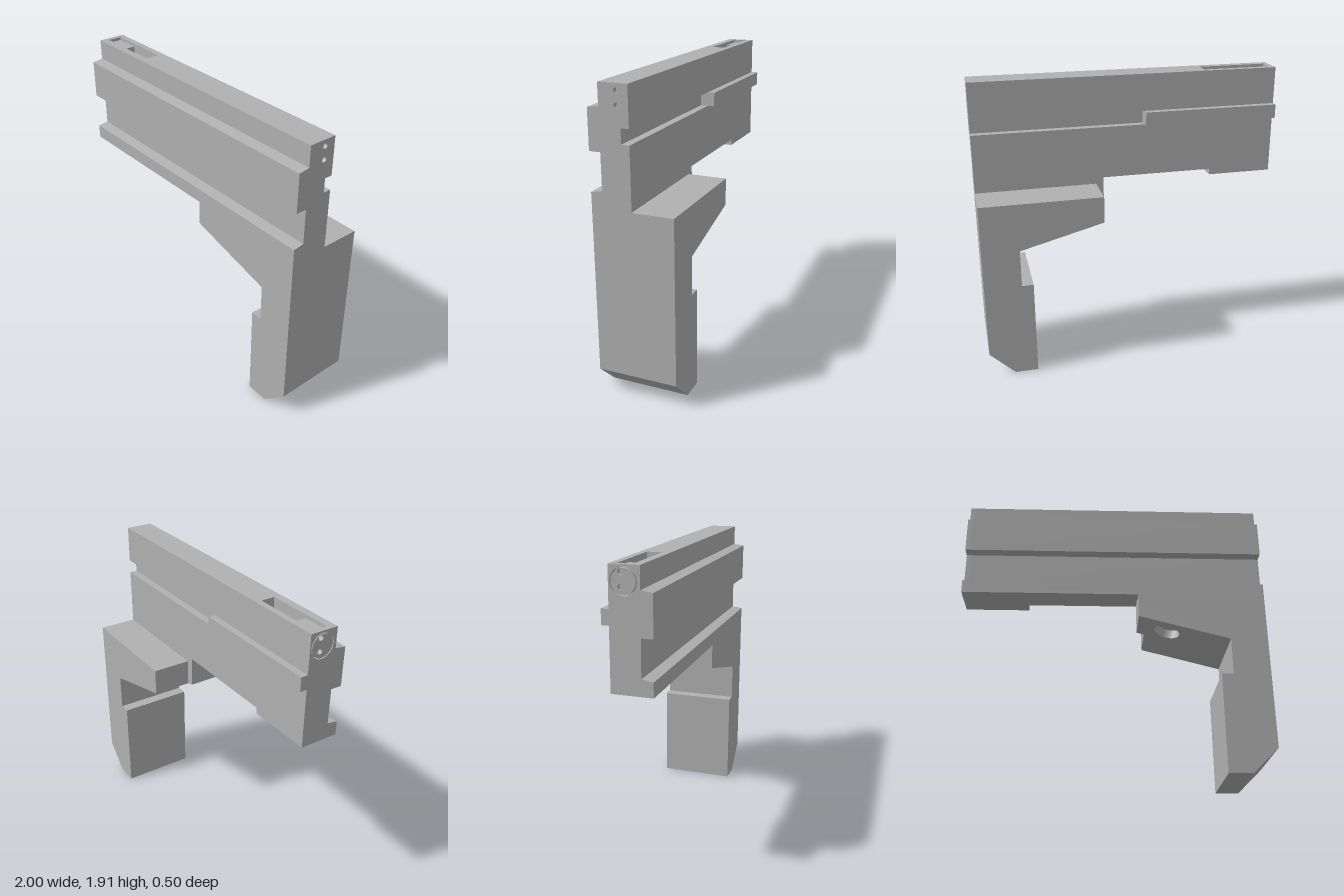
import * as THREE from 'three';

const grey = new THREE.MeshStandardMaterial({ color: 0xb0b0b0, side: THREE.DoubleSide });
grey.name = 'plainGrey';

const shapeOf = (pts) => new THREE.Shape(pts.map(([a, b]) => new THREE.Vector2(a, b)));
const circle = (x, y, r) => new THREE.Path().absarc(x, y, r, 0, Math.PI * 2, true);
const extrude = (shape, depth) =>
  new THREE.ExtrudeGeometry(shape, { depth, bevelEnabled: false, curveSegments: 16 });

// Shape drawn in (z, y), swept from x0 to x1
const alongX = (shape, x0, x1) => extrude(shape, x1 - x0).rotateY(-Math.PI / 2).translate(x1, 0, 0);
// Shape drawn in (x, -z), swept from y0 to y1
const alongY = (shape, y0, y1) => extrude(shape, y1 - y0).rotateX(-Math.PI / 2).translate(0, y0, 0);
// Shape drawn in (x, y), swept from z0 to z1
const alongZ = (shape, z0, z1) => extrude(shape, z1 - z0).translate(0, 0, z0);
const box = (x0, x1, y0, y1, z0, z1) =>
  new THREE.BoxGeometry(x1 - x0, y1 - y0, z1 - z0)
    .translate((x0 + x1) / 2, (y0 + y1) / 2, (z0 + z1) / 2);

// Body section with front rails and the groove in the back
const section = (bottom, top) => shapeOf([
  [0, bottom], [0.25, bottom], [0.25, 1.29], [0.18, 1.3], [0.18, 1.525], [0.25, 1.525],
  [0.25, 1.77], [0.18, 1.78], [0.18, top], [0, top],
  [0, 1.67], [0.05, 1.67], [0.05, 1.58], [0, 1.58],
]);

export function createModel() {
  const model = new THREE.Group();
  model.name = 'model';
  const add = (name, geometry) => {
    const mesh = new THREE.Mesh(geometry, grey);
    mesh.name = name;
    model.add(mesh);
    return mesh;
  };
  const END = 0.97;

  add('body', alongX(section(1.24, 1.8), -END, END));

  // Top layer with an open slot
  const top = shapeOf([[-END, 0], [-END, -0.18], [END, -0.18], [END, 0]]);
  top.holes.push(new THREE.Path([[-0.969, -0.04], [-0.52, -0.04], [-0.52, -0.13], [-0.969, -0.13]]
    .map(([a, b]) => new THREE.Vector2(a, b))));
  add('topLayer', alongY(top, 1.8, 1.91));
  add('slotPanel', box(-END, -0.8, 1.8, 1.89, 0.04, 0.13));

  // Rounded floor of the slot
  const trough = new THREE.CylinderGeometry(0.045, 0.045, 0.28, 20, 1, true, Math.PI / 2, Math.PI)
    .rotateX(0).rotateZ(Math.PI / 2);
  const floorArc = new THREE.Shape();
  floorArc.moveTo(0.04, 1.8);
  floorArc.lineTo(0.04, 1.85);
  floorArc.absarc(0.085, 1.85, 0.045, Math.PI, Math.PI * 2, false);
  floorArc.lineTo(0.13, 1.8);
  trough.dispose();
  add('slotFloor', alongX(floorArc, -0.8, -0.52));

  // Bottom layer with a recess, rounded at one end, open to the back
  const bottom = new THREE.Shape();
  bottom.moveTo(-END, 0);
  bottom.lineTo(-END, -0.25);
  bottom.lineTo(END, -0.25);
  bottom.lineTo(END, 0);
  bottom.lineTo(0.165, 0);
  bottom.lineTo(0.165, -0.17);
  bottom.lineTo(-0.485, -0.17);
  bottom.absarc(-0.485, -0.085, 0.085, -Math.PI / 2, -Math.PI, true);
  bottom.lineTo(-0.57, 0);
  add('bottomLayer', alongY(bottom, 1.2, 1.24));

  // End plates with small round holes
  const holes = () => [1.87, 1.79].map((y) => circle(0.07, y, 0.016));
  const leftEnd = section(1.2, 1.91);
  leftEnd.holes.push(...holes());
  add('leftEndPlate', alongX(leftEnd, END, 1));
  const rightEnd = section(1.2, 1.91);
  rightEnd.holes.push(circle(0.085, 1.82, 0.077));
  add('rightEndPlate', alongX(rightEnd, -1, -END));
  const plug = new THREE.Shape().absarc(0.085, 1.82, 0.071, 0, Math.PI * 2, false);
  plug.holes.push(...holes());
  add('roundPlug', alongX(plug, -1, -END));

  // Sliding bar in the back groove
  add('slideBar', box(-1, -0.11, 1.58, 1.67, -0.045, 0.05));

  // Grip, back half and front half
  const lower = [[0.76, 0.885], [0.76, 0.64], [0.685, 0.64], [0.685, 0], [0.835, 0], [1, 0.16], [1, 1.2]];
  add('gripBack', alongZ(shapeOf([[0.215, 1.2], [0.215, 1.027], ...lower]), -0.255, 0));

  // The front half's sloped underside is a plate with a round pocket
  const depth = 0.06;
  const start = new THREE.Vector3(0.165, 1.04, 0);
  const dir = new THREE.Vector3(0.76, 0.885, 0).sub(start);
  const length = dir.length();
  dir.normalize();
  const out = new THREE.Vector3(dir.y, -dir.x, 0);
  const inner = start.clone().addScaledVector(out, -depth);
  const innerEnd = inner.clone().addScaledVector(dir, length);
  add('gripFront', alongZ(shapeOf([
    [0.165, 1.2], [0.165, 1.04], [inner.x, inner.y], [innerEnd.x, innerEnd.y], ...lower,
  ]), 0, 0.25));
  const slope = shapeOf([[0, 0], [length, 0], [length, 0.25], [0, 0.25]]);
  slope.holes.push(circle(0.2, 0.12, 0.085));
  const frame = new THREE.Matrix4().makeBasis(dir, new THREE.Vector3(0, 0, 1), out).setPosition(inner);
  add('gripSlope', extrude(slope, depth).applyMatrix4(frame));

  return model;
}
